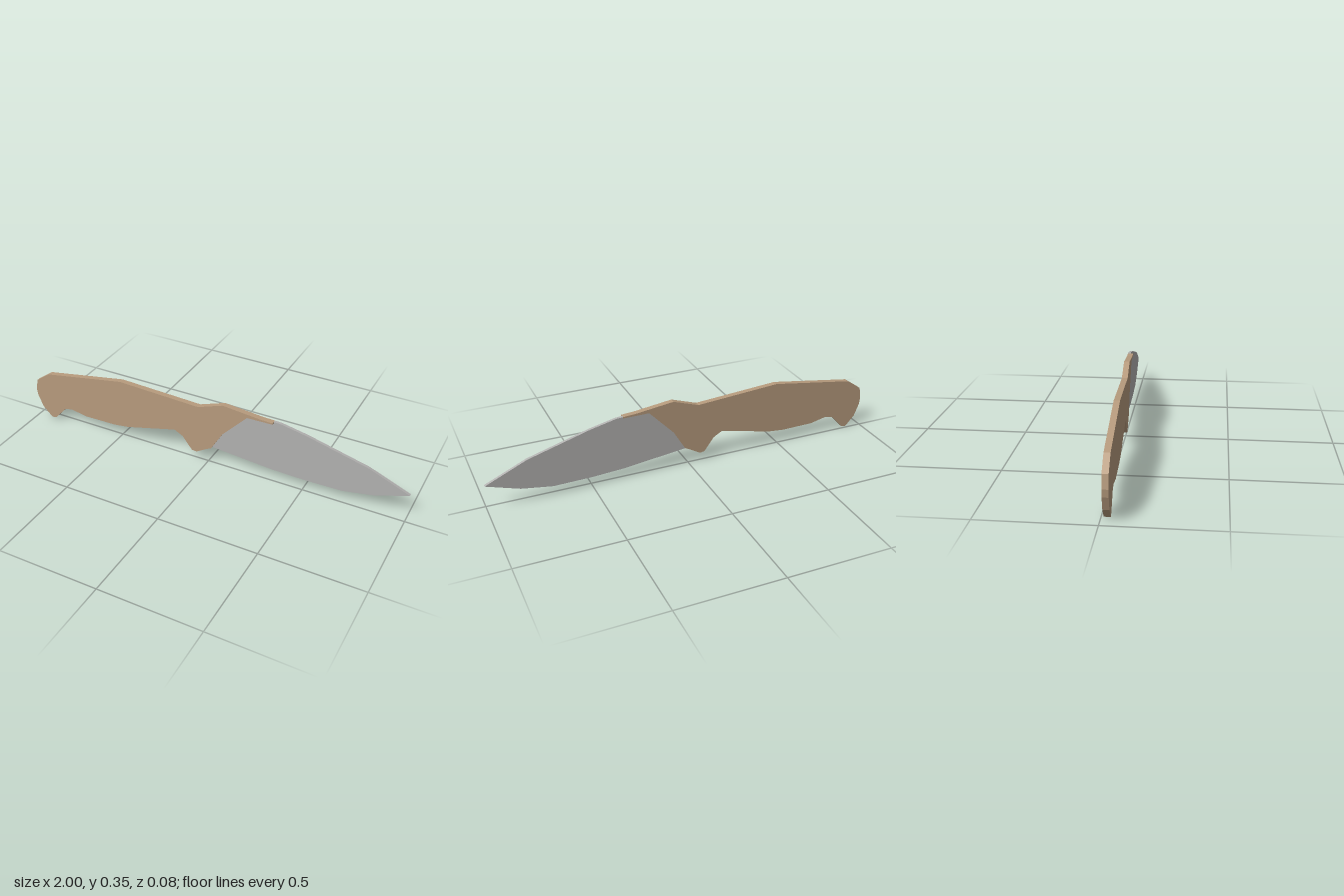
import * as THREE from 'three';

const handleMaterial = new THREE.MeshStandardMaterial({ color: 0xb89c7e });
handleMaterial.name = 'tan handle';
const bladeMaterial = new THREE.MeshStandardMaterial({ color: 0xb3b2b1 });
bladeMaterial.name = 'grey steel';

// Shared line where the handle meets the blade, from spine to cutting edge
const seam = [[0.335, 0.33], [0.335, 0.323], [0.205, 0.322], [0.08, 0.19], [0.02, 0.09]];

// Handle outline: butt, back and thumb ramp
const handleTop = [
  [-0.995, 0.115], [-1, 0.15], [-0.99, 0.21], [-0.91, 0.265], [-0.48, 0.335],
  [-0.05, 0.31], [0.08, 0.355], [0.275, 0.333],
];
// Finger guard, grip belly and hooked pommel
const handleBottom = [
  [0, 0.08], [-0.06, 0.045], [-0.085, 0.048], [-0.135, 0.115], [-0.18, 0.14],
  [-0.45, 0.075], [-0.53, 0.066], [-0.7, 0.066], [-0.79, 0.084], [-0.83, 0.075],
  [-0.895, 0.005], [-0.92, 0], [-0.97, 0.053],
];

// Cutting edge from guard to tip, then the spine back to the handle
const bladeEdge = [
  [0.34, 0.057], [0.5, 0.05], [0.69, 0.05], [0.84, 0.076], [1, 0.13],
  [0.8, 0.217], [0.5, 0.3], [0.37, 0.328],
];

// Flat plate with its back on one shared plane that slants gently along the knife
function plate(name, outline, thickness, material) {
  const shape = new THREE.Shape(outline.map(([x, y]) => new THREE.Vector2(x, y)));
  const geometry = new THREE.ExtrudeGeometry(shape, { depth: thickness, bevelEnabled: false });
  const p = geometry.attributes.position;
  for (let i = 0; i < p.count; i++) {
    p.setZ(i, p.getZ(i) - 0.0142 - 0.0265 * p.getX(i));
  }
  geometry.computeVertexNormals();
  const mesh = new THREE.Mesh(geometry, material);
  mesh.name = name;
  return mesh;
}

export function createModel() {
  const knife = new THREE.Group();
  knife.name = 'knife';
  knife.add(
    plate('handle', [...handleTop, ...seam, ...handleBottom], 0.0275, handleMaterial),
    plate('blade', [...seam, ...bladeEdge], 0.0145, bladeMaterial),
  );
  return knife;
}
